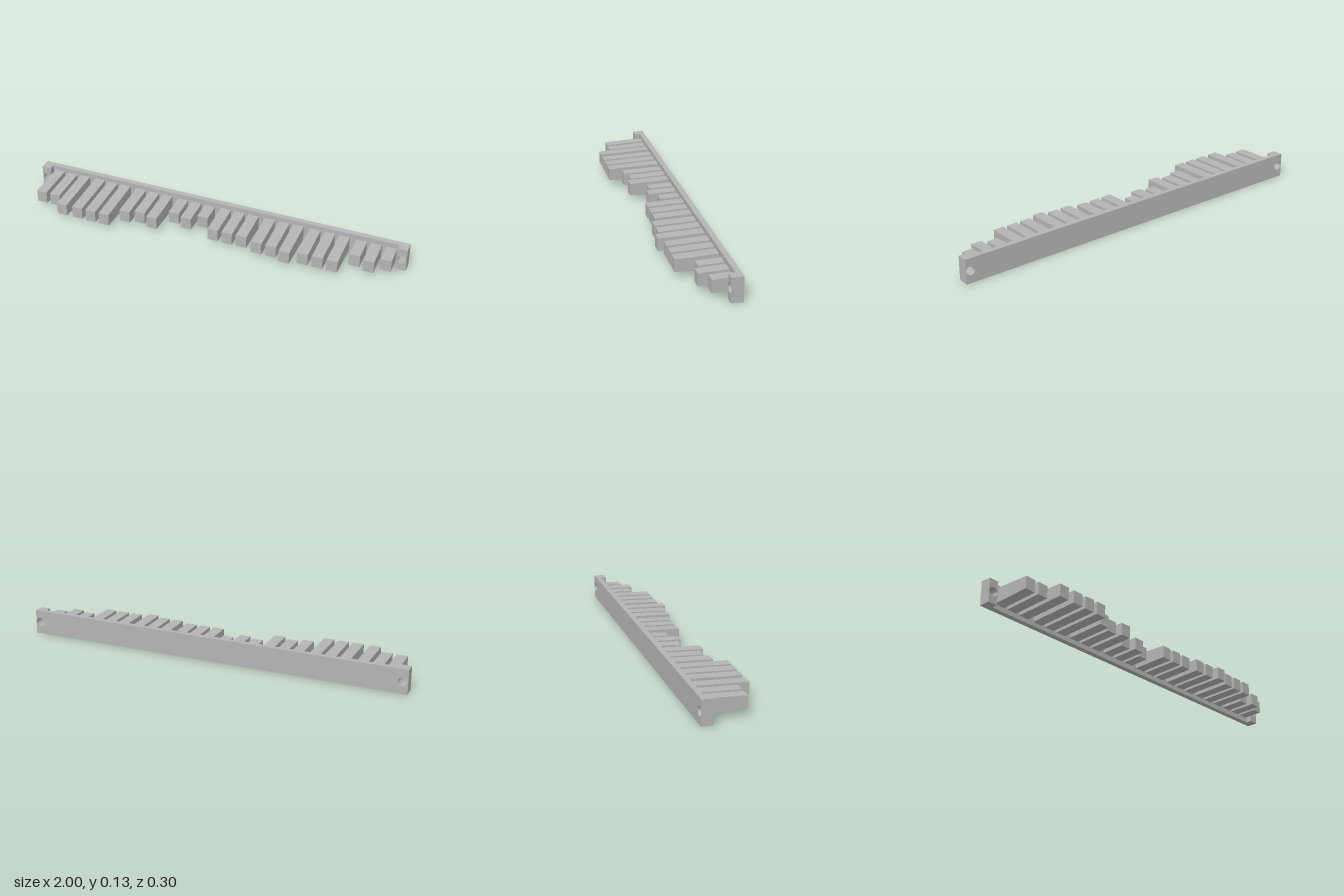
import * as THREE from 'three';

const MID = 0.063;      // mid height of the strip
const DRAFT = 0.036;    // slope of the upper and lower faces
const BACK = -0.148, PLATE_FRONT = -0.121, LUG_FRONT = -0.091;

const grey = new THREE.MeshStandardMaterial({ color: 0xb4b4b4 });
grey.name = 'plain grey';

// Rectangular plate pierced by round holes, narrowing towards the front
function plate(name, x0, x1, z0, z1, holes) {
  const halfH = MID;
  const shape = new THREE.Shape([
    new THREE.Vector2(x0, -halfH), new THREE.Vector2(x1, -halfH),
    new THREE.Vector2(x1, halfH), new THREE.Vector2(x0, halfH),
  ]);
  for (const hx of holes) {
    const hole = new THREE.Path();
    hole.absarc(hx, 0, 0.023, 0, Math.PI * 2, true);
    shape.holes.push(hole);
  }
  const geo = new THREE.ExtrudeGeometry(shape, { depth: z1 - z0, bevelEnabled: false, curveSegments: 16 });
  geo.translate(0, 0, z0);
  const p = geo.attributes.position;
  for (let i = 0; i < p.count; i++) {
    const scale = 1 - DRAFT * (p.getZ(i) - BACK) / halfH;
    p.setY(i, MID + p.getY(i) * scale);
  }
  geo.computeVertexNormals();
  const mesh = new THREE.Mesh(geo, grey);
  mesh.name = name;
  return mesh;
}

// Tapered tooth: fixed tip height, root grows with length
function tooth(x, tipZ) {
  const tip = 0.0315, width = 0.055, rootZ = PLATE_FRONT - 0.004;
  const root = tip + DRAFT * (tipZ - rootZ);
  const shape = new THREE.Shape([
    new THREE.Vector2(-tipZ, -tip), new THREE.Vector2(-rootZ, -root),
    new THREE.Vector2(-rootZ, root), new THREE.Vector2(-tipZ, tip),
  ]);
  const geo = new THREE.ExtrudeGeometry(shape, { depth: width, bevelEnabled: false });
  geo.translate(0, 0, -width / 2).rotateY(Math.PI / 2);
  const mesh = new THREE.Mesh(geo, grey);
  mesh.position.set(x, MID, 0);
  mesh.name = 'tooth';
  return mesh;
}

export function createModel() {
  const model = new THREE.Group();
  model.name = 'toothedStrip';

  // Long back plate and the raised mounting lugs at its ends
  const holeX = 0.975;
  model.add(plate('backPlate', -1, 1, BACK, PLATE_FRONT, [-holeX, holeX]));
  model.add(plate('rightLug', -1, -0.95, PLATE_FRONT, LUG_FRONT, [-holeX]));
  model.add(plate('leftLug', 0.95, 1, PLATE_FRONT, LUG_FRONT, [holeX]));

  // Eight groups of three teeth, with lengths in equal steps
  const steps = [
    [5, 5, 8], [8, 8, 8], [5, 4, 5], [1, 2, 0],
    [4, 4, 4], [5, 5, 6], [5, 5, 5], [1, 2, 0],
  ];
  const teeth = new THREE.Group();
  teeth.name = 'teeth';
  steps.forEach((group, g) => group.forEach((step, t) => {
    teeth.add(tooth(-0.91 + g * 0.239 + t * 0.0755, -0.019 + step * 0.0209));
  }));
  model.add(teeth);
  return model;
}
